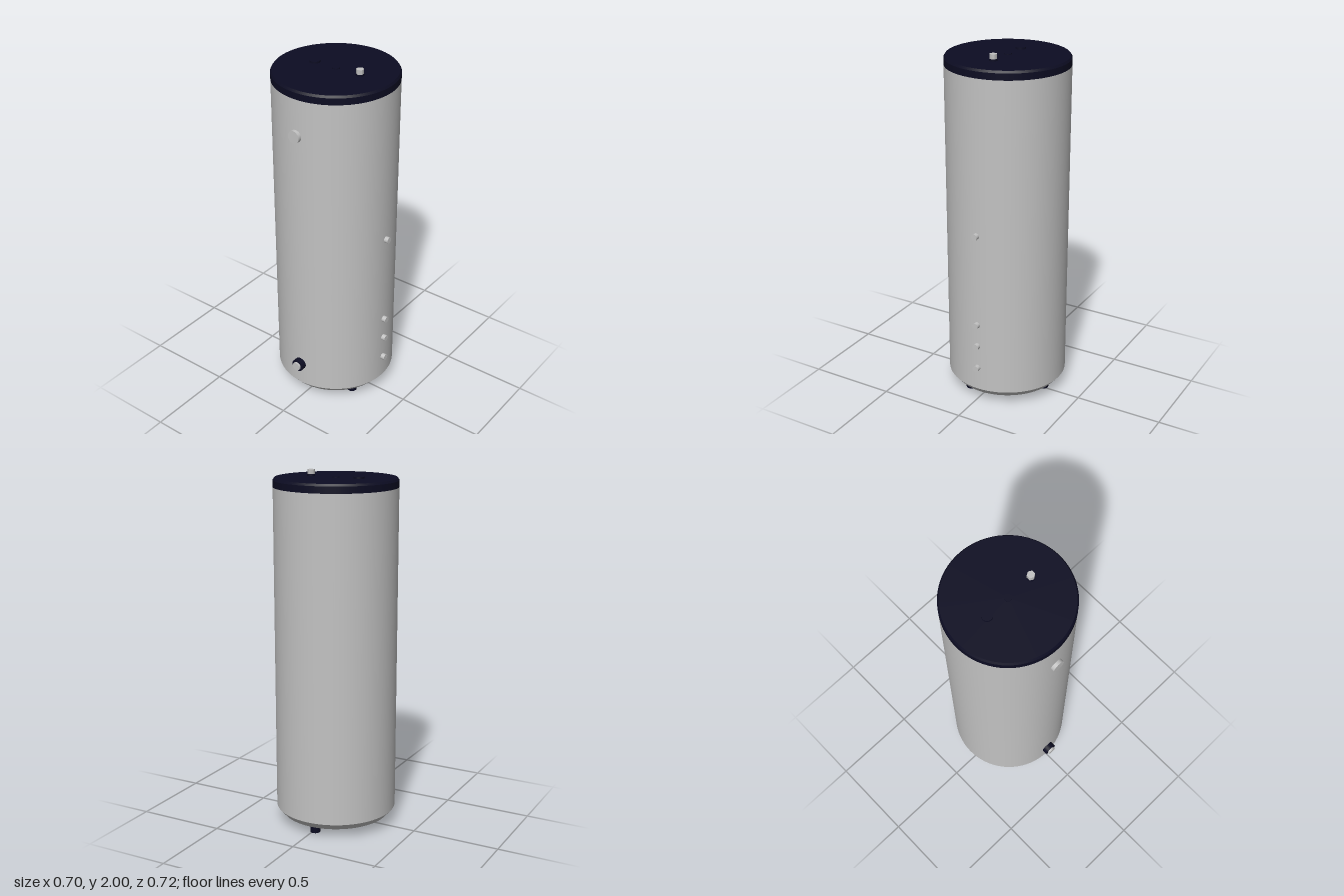
import * as THREE from 'three';

const CX = -0.012, CZ = -0.022, R = 0.341;

export function createModel() {
  const model = new THREE.Group();
  const grey = new THREE.MeshStandardMaterial({ color: 0xc2c2c2 });
  grey.name = 'light grey';
  const navy = new THREE.MeshStandardMaterial({ color: 0x0c0c22 });
  navy.name = 'dark navy';

  function add(name, geometry, material, x, y, z) {
    const mesh = new THREE.Mesh(geometry, material);
    mesh.name = name;
    mesh.position.set(x, y, z);
    model.add(mesh);
    return mesh;
  }
  // Solid of revolution; each profile segment is separate so edges stay sharp
  function turned(name, profile, material) {
    const group = new THREE.Group();
    group.name = name;
    for (let i = 0; i + 1 < profile.length; i++) {
      const pts = [profile[i], profile[i + 1]].map(([r, y]) => new THREE.Vector2(r, y));
      const mesh = new THREE.Mesh(new THREE.LatheGeometry(pts, 72), material);
      mesh.name = name + 'Band';
      group.add(mesh);
    }
    group.position.set(CX, 0, CZ);
    model.add(group);
  }
  const rod = (r, h, sides = 24) => new THREE.CylinderGeometry(r, r, h, sides);

  // Tank shell with bevelled bottom, and its lid
  turned('tank', [[0, 0.053], [0.307, 0.053], [R, 0.092], [R, 1.915]], grey);
  turned('lid', [[R, 1.915], [R, 1.952], [0.333, 1.964], [0, 1.964]], navy);

  // Three feet
  for (let i = 0; i < 3; i++) {
    const a = Math.PI / 6 + i * Math.PI * 2 / 3;
    add('foot', rod(0.028, 0.056), navy, CX + 0.245 * Math.cos(a), 0.028, CZ + 0.245 * Math.sin(a));
  }

  // Lid fittings: hexagonal outlet with collar, plug and small centre cap
  add('outletCollar', rod(0.022, 0.012), navy, 0.141, 1.968, CZ);
  add('outletPipe', rod(0.021, 0.036, 6).toNonIndexed(), grey, 0.141, 1.982, CZ);
  add('lidPlug', rod(0.029, 0.014), navy, -0.15, 1.967, CZ);
  add('centreCap', rod(0.02, 0.006), navy, CX, 1.965, CZ);

  // Connections on the left side
  for (const y of [0.23, 0.37, 0.503, 1.043]) {
    add('sideConnection', rod(0.018, 0.042), grey, 0.331, y, CZ).rotation.z = -Math.PI / 2;
  }

  // Front fittings: upper gauge, lower drain with ring
  const front = (name, r, z0, z1, y, material) =>
    add(name, rod(r, z1 - z0, 32), material, CX, y, (z0 + z1) / 2).rotation.x = Math.PI / 2;
  front('gauge', 0.035, 0.3, 0.338, 1.71, grey);
  front('drainRing', 0.037, 0.3, 0.349, 0.23, navy);
  front('drainPipe', 0.025, 0.3, 0.361, 0.23, grey);

  return model;
}
